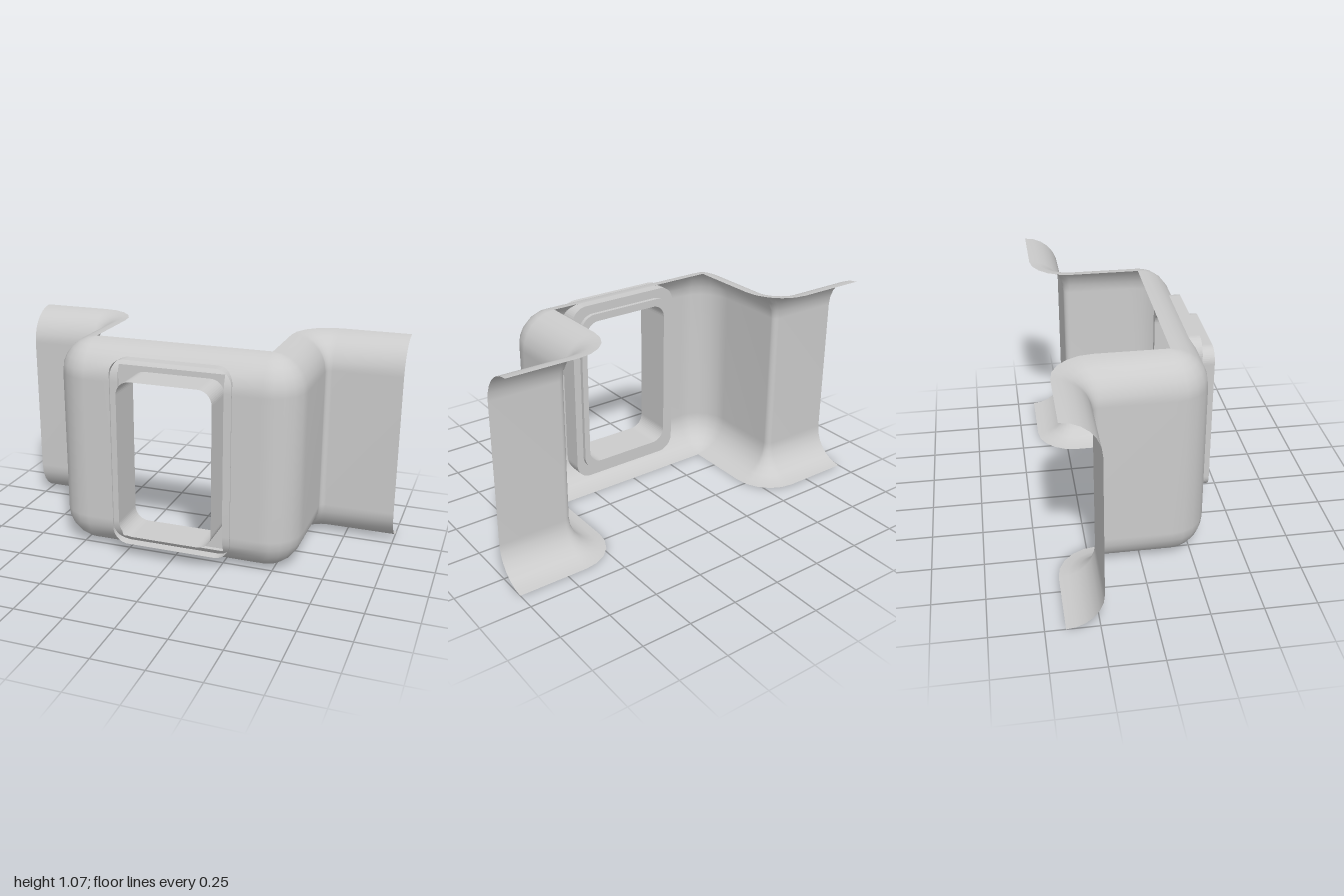
import * as THREE from 'three';

const HEIGHT = 1.07, R = 0.175; // bracket height and edge roll radius
const material = new THREE.MeshStandardMaterial({ color: 0xcccccc, side: THREE.DoubleSide });

function add(group, name, geometry, z = 0) {
  const mesh = new THREE.Mesh(geometry, material);
  mesh.name = name;
  mesh.position.z = z;
  group.add(mesh);
}

// Rounded rectangle centred on x = 0, between two heights
function roundedRect(w, y0, y1, r, Type = THREE.Shape) {
  const s = new Type();
  s.absarc(w - r, y0 + r, r, -Math.PI / 2, 0);
  s.absarc(w - r, y1 - r, r, 0, Math.PI / 2);
  s.absarc(-w + r, y1 - r, r, Math.PI / 2, Math.PI);
  s.absarc(-w + r, y0 + r, r, Math.PI, Math.PI * 1.5);
  s.closePath();
  return s;
}

// Flat ring between two rounded rectangles
function ring(outer, inner) {
  const shape = roundedRect(...outer);
  shape.holes.push(roundedRect(...inner, THREE.Path));
  return new THREE.ShapeGeometry(shape, 6);
}

// Open thin wall following a rounded rectangle
function wall(rect, depth) {
  const pts = roundedRect(...rect).getPoints(6);
  const pos = [], index = [];
  pts.forEach((p, i) => {
    const q = pts[(i + 1) % pts.length];
    if (p.distanceTo(q) < 1e-5) return;
    const k = pos.length / 3;
    pos.push(p.x, p.y, 0, q.x, q.y, 0, q.x, q.y, depth, p.x, p.y, depth);
    index.push(k, k + 1, k + 2, k, k + 2, k + 3);
  });
  const g = new THREE.BufferGeometry();
  g.setAttribute('position', new THREE.Float32BufferAttribute(pos, 3));
  g.setIndex(index);
  g.computeVertexNormals();
  return g;
}

// Hat-shaped sheet with rolled upper and lower edges and a front cut-out
function sheetGeometry() {
  // Path stations: face position and the direction in which the edges roll
  const half = [{ x: 1, z: -0.23, dx: 0, dz: -1 }];
  for (let i = 0; i <= 5; i++) {
    const a = (i / 5) * Math.PI / 2, dx = -Math.sin(a), dz = -Math.cos(a);
    half.push({ x: 0.65 + 0.03 * dx, z: -0.2 + 0.03 * dz, dx, dz });
  }
  for (let i = 0; i <= 5; i++) {
    const a = (i / 5) * Math.PI / 2, dx = -Math.cos(a), dz = -Math.sin(a);
    half.push({ x: 0.445 - R * dx, z: 0.145 - R * dz, dx, dz });
  }
  half.push({ x: 0.265, z: 0.32, dx: 0, dz: -1 });
  const path = [...half, ...half.map(s => ({ ...s, x: -s.x, dx: -s.dx })).reverse()];

  // Cross-section: bottom roll, flat face, top roll
  const section = [];
  for (let i = 6; i >= 0; i--) {
    const a = i * Math.PI / 12;
    section.push({ y: R - R * Math.sin(a), off: R * (1 - Math.cos(a)) });
  }
  section.push(...section.map(p => ({ y: HEIGHT - p.y, off: p.off })).reverse());

  const pos = [], index = [], n = section.length;
  for (const s of path)
    for (const p of section) pos.push(s.x + s.dx * p.off, p.y, s.z + s.dz * p.off);
  for (let i = 0; i < path.length - 1; i++)
    for (let j = 0; j < n - 1; j++) {
      const cutOut = i === half.length - 1 && j >= 4 && j < n - 5;
      if (cutOut) continue;
      const a = i * n + j, b = a + n;
      index.push(a, a + 1, b, b, a + 1, b + 1);
    }
  const g = new THREE.BufferGeometry();
  g.setAttribute('position', new THREE.Float32BufferAttribute(pos, 3));
  g.setIndex(index);
  g.computeVertexNormals();
  return g;
}

export function createModel() {
  const group = new THREE.Group();
  group.name = 'bracket';
  add(group, 'bentSheet', sheetGeometry());

  // Window insert: open-fronted flange, back plate, raised lip and neck
  const flange = [0.305, 0.06, 1.015, 0.08];
  const lip = [0.267, 0.105, 0.97, 0.08];
  const neck = [0.237, 0.142, 0.932, 0.07];
  const insert = new THREE.Group();
  insert.name = 'windowInsert';
  add(insert, 'flangeWall', wall(flange, 0.108), 0.22);
  add(insert, 'backPlate', ring(flange, neck), 0.22);
  add(insert, 'lipWall', wall(lip, 0.02), 0.2);
  add(insert, 'lipFace', ring(lip, neck), 0.2);
  add(insert, 'neck', wall(neck, 0.205), 0.2);
  group.add(insert);
  return group;
}
